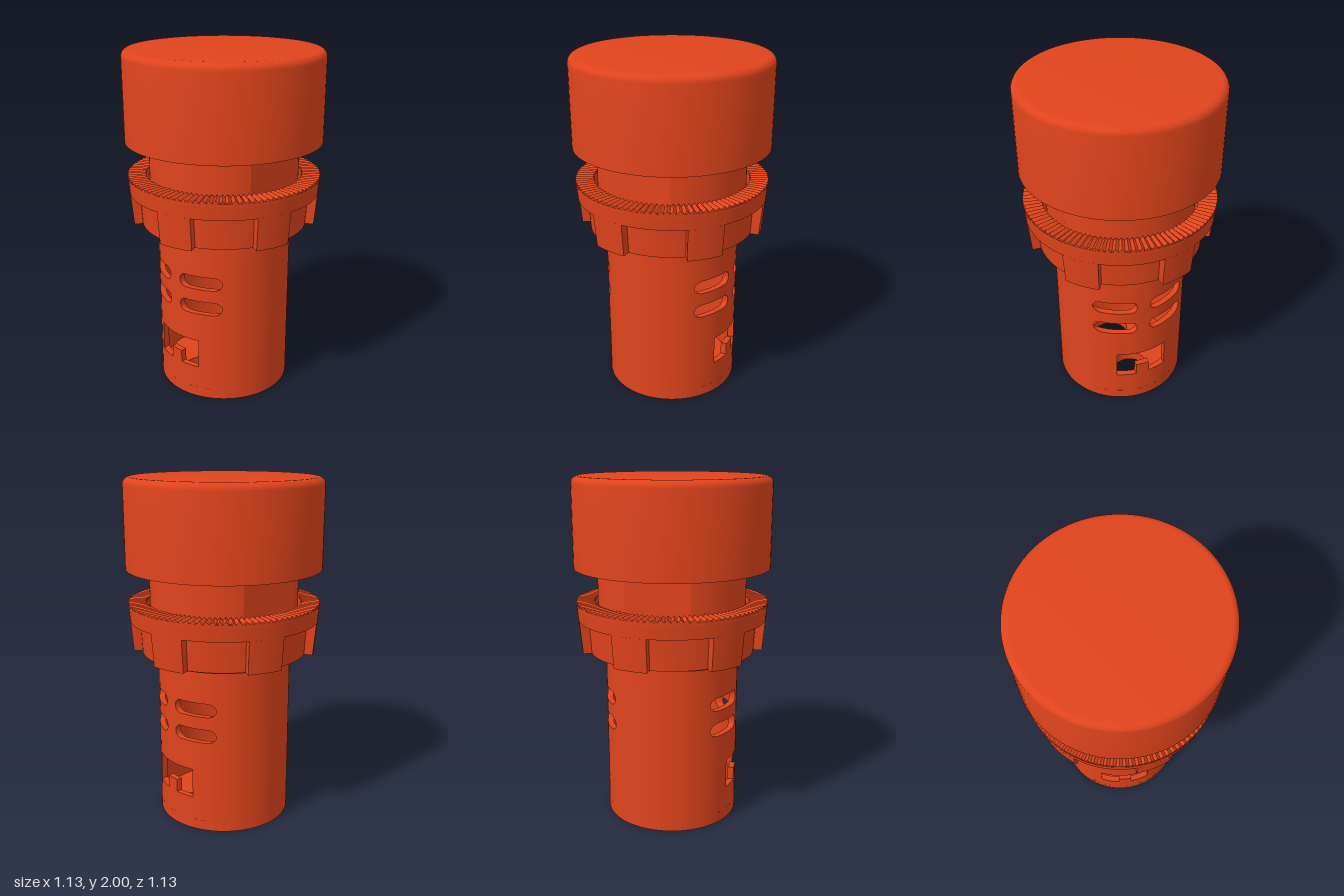
import * as THREE from 'three';
import { mergeGeometries, toCreasedNormals } from 'three/addons/utils/BufferGeometryUtils.js';

const R = 0.39, R_IN = 0.355;           // lower body wall
const BODY_TOP = 0.98, FLOOR = 0.06, CAP_Y = 1.49;
const PANEL_X = 0.28;                   // half width of the pierced front and back panels

export function createModel() {
  const group = new THREE.Group();
  const material = new THREE.MeshStandardMaterial({ color: 0xe0441c });

  const add = (name, geometry, crease = 0.5) => {
    const mesh = new THREE.Mesh(toCreasedNormals(geometry, crease), material);
    mesh.name = name;
    group.add(mesh);
    return mesh;
  };
  const lathe = (points, segments = 96) =>
    new THREE.LatheGeometry(points.map(([x, y]) => new THREE.Vector2(x, y)), segments);
  // plan shape raised from y0 to y1
  const raise = (shape, y0, y1, curveSegments = 48) =>
    new THREE.ExtrudeGeometry(shape, { depth: y1 - y0, bevelEnabled: false, curveSegments })
      .rotateX(-Math.PI / 2).translate(0, y0, 0);
  const circle = (r, x = 0, y = 0) => new THREE.Path().absarc(x, y, r, 0, Math.PI * 2, false);
  // ring sector centred on +x; a and b are the outer and inner half angles
  const sector = (rOut, rIn, a, b) => {
    const s = new THREE.Shape();
    s.absarc(0, 0, rOut, -a, a, false);
    s.absarc(0, 0, rIn, b, -b, true);
    s.closePath();
    return s;
  };

  // base disc with two wire holes
  const base = new THREE.Shape().absarc(0, 0, R, 0, Math.PI * 2, false);
  base.holes.push(circle(0.112, 0, 0.186), circle(0.112, 0, -0.186));
  add('base', raise(base, 0, FLOOR, 96));

  // plain side walls of the hollow body
  const side = raise(
    sector(R, R_IN, Math.acos(PANEL_X / R), Math.acos(PANEL_X / R_IN)), FLOOR, BODY_TOP);
  add('bodySides', mergeGeometries([side, side.clone().rotateY(Math.PI)]));

  // pierced panels: narrow strips bent onto the wall, leaving slots and a window
  const slotHalf = (x) => {
    const ax = Math.abs(x);
    const d = Math.max(0, 0.08 - ax, ax - 0.235);
    return d < 0.04 ? Math.sqrt(0.0016 - d * d) : 0;
  };
  const windowAt = (x) => {
    const ax = Math.abs(x);
    if (ax < 0.04) return [0.275, 0.375];
    return ax < 0.155 ? [0.2, 0.375] : [0.3, 0.3];
  };
  const half = [0.04, 0.042, 0.047, 0.055, 0.067, 0.08, 0.12, 0.155, 0.195, 0.235,
    0.248, 0.26, 0.268, 0.273, 0.275, PANEL_X];
  const xs = [...half.map((x) => -x).reverse(), 0, ...half];
  const strips = [];
  for (let i = 0; i + 1 < xs.length; i++) {
    const [x0, x1] = [xs[i], xs[i + 1]];
    const [w0, w1] = windowAt((x0 + x1) / 2);
    const levels = (x) => {
      const h = slotHalf(x);
      return [FLOOR, w0, w1, 0.59 - h, 0.59 + h, 0.745 - h, 0.745 + h, BODY_TOP];
    };
    const l0 = levels(x0), l1 = levels(x1);
    for (let k = 0; k < l0.length; k += 2) {
      const quad = new THREE.Shape([
        new THREE.Vector2(x0, l0[k]), new THREE.Vector2(x1, l1[k]),
        new THREE.Vector2(x1, l1[k + 1]), new THREE.Vector2(x0, l0[k + 1])]);
      const strip = new THREE.ExtrudeGeometry(quad, { depth: 1, bevelEnabled: false });
      const p = strip.attributes.position;
      for (let v = 0; v < p.count; v++) {
        const r = p.getZ(v) > 0.5 ? R : R_IN;
        p.setZ(v, Math.sqrt(r * r - p.getX(v) ** 2));
      }
      strips.push(strip);
    }
  }
  const panel = mergeGeometries(strips);
  add('frontPanel', panel);
  add('backPanel', panel.clone().rotateY(Math.PI));

  // neck: round tube with a flat on each side
  const flat = Math.acos(R / 0.43);
  const neck = new THREE.Shape();
  neck.absarc(0, 0, 0.43, flat, Math.PI - flat, false);
  neck.absarc(0, 0, 0.43, Math.PI + flat, Math.PI * 2 - flat, false);
  neck.closePath();
  neck.holes.push(circle(R_IN));
  add('neck', raise(neck, BODY_TOP, CAP_Y), 0.3);

  // locking nut: recessed skirt under a tapered rim
  add('nut', lathe([[0.45, 1], [0.48, 1], [0.492, 1.19], [0.547, 1.19], [0.556, 1.285],
    [0.45, 1.285], [0.45, 1]]));

  // six grip pads, tapered to follow the rim
  const halfPad = THREE.MathUtils.degToRad(11);
  for (let i = 0; i < 6; i++) {
    const pad = raise(sector(0.53, 0.47, halfPad, halfPad), 1, 1.19, 10);
    const p = pad.attributes.position;
    for (let v = 0; v < p.count; v++) {
      if (Math.hypot(p.getX(v), p.getZ(v)) < 0.5) continue;
      const k = 1 + (p.getY(v) - 1) * 0.17;
      p.setX(v, p.getX(v) * k);
      p.setZ(v, p.getZ(v) * k);
    }
    pad.rotateY(THREE.MathUtils.degToRad(16 + 60 * i - 90));
    add('gripPad', pad);
  }

  // radial serrations on top of the nut
  const teeth = lathe([[0.555, 1.27], [0.554, 1.285], [0.45, 1.285], [0.45, 1.27]], 200);
  const tp = teeth.attributes.position;
  for (let v = 0; v < tp.count; v++) {
    const column = Math.floor(v / 4), row = v % 4;
    if (column % 2 && (row === 1 || row === 2)) tp.setY(v, 1.3);
  }
  add('serrations', teeth, 0.2);

  // lens cap with a rounded top edge
  const cap = [[0, CAP_Y], [0.565, CAP_Y]];
  for (let i = 0; i <= 6; i++) {
    const a = (i / 6) * Math.PI / 2;
    cap.push([0.525 + 0.04 * Math.cos(a), 1.96 + 0.04 * Math.sin(a)]);
  }
  cap.push([0, 2]);
  add('lensCap', lathe(cap));

  return group;
}
